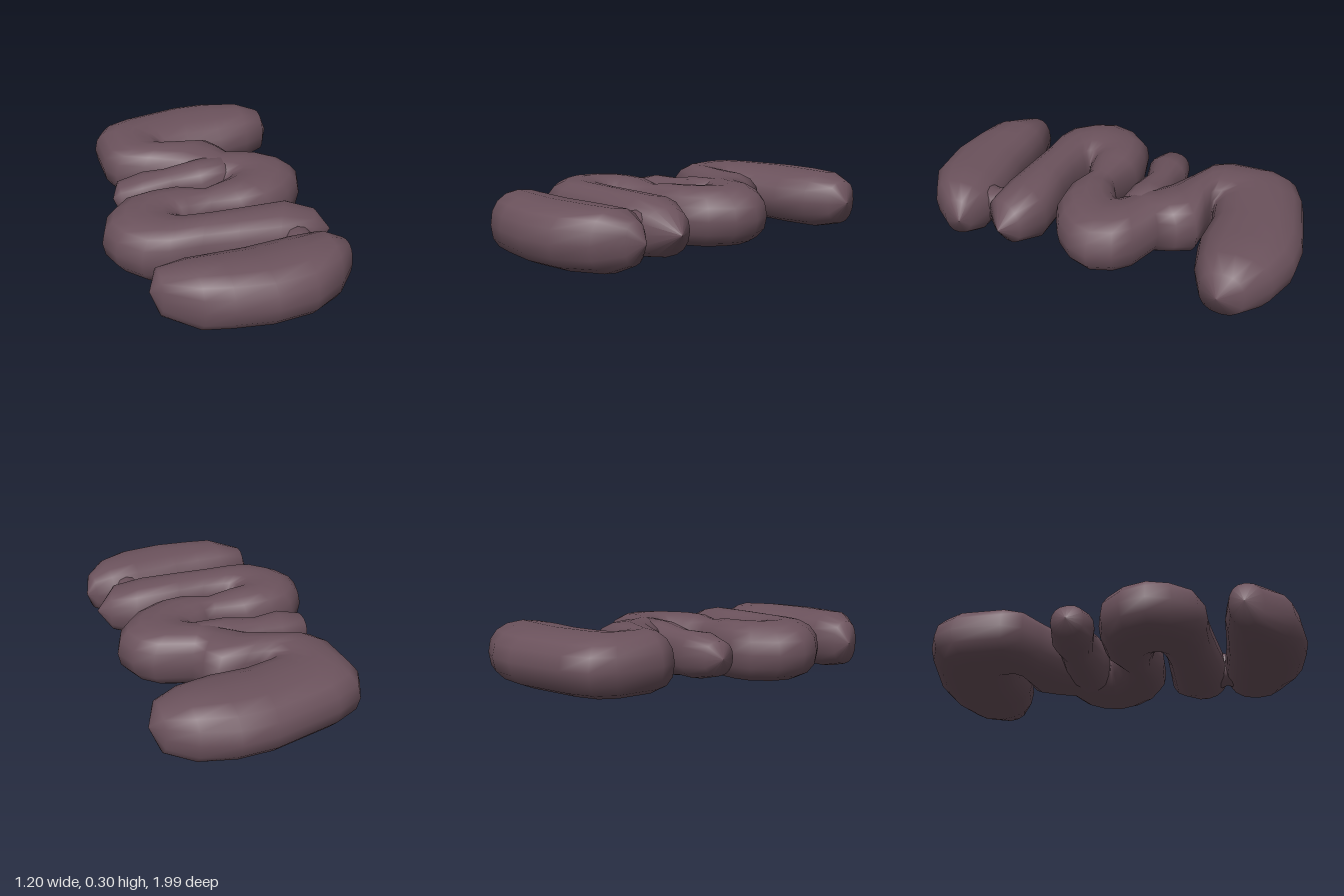
import * as THREE from 'three';

const MID = 0.155; // height of the centre line
const SIDES = 16;

// Loft through sections [rightX, rightZ, leftX, leftZ, halfHeight], seen along the path
function loft(name, sections, material) {
  const pos = [], index = [];
  const soft = v => Math.sign(v) * Math.pow(Math.abs(v), 0.85);
  for (const [ax, az, bx, bz, h] of sections) {
    for (let j = 0; j < SIDES; j++) {
      const a = (j / SIDES) * Math.PI * 2;
      const c = soft(Math.cos(a)), s = soft(Math.sin(a));
      pos.push((ax + bx) / 2 + ((ax - bx) / 2) * c, MID + h * s, (az + bz) / 2 + ((az - bz) / 2) * c);
    }
  }
  for (let i = 0; i < sections.length - 1; i++) {
    for (let j = 0; j < SIDES; j++) {
      const k = (j + 1) % SIDES;
      const a = i * SIDES + j, b = i * SIDES + k, c = a + SIDES, d = b + SIDES;
      index.push(a, c, d, a, d, b);
    }
  }
  const g = new THREE.BufferGeometry();
  g.setAttribute('position', new THREE.Float32BufferAttribute(pos, 3));
  g.setIndex(index);
  g.computeVertexNormals();
  const mesh = new THREE.Mesh(g, material);
  mesh.name = name;
  return mesh;
}

const tip = (x, z) => [x, z, x, z, 0];

export function createModel() {
  const group = new THREE.Group();
  group.name = 'coiledTube';
  const flesh = new THREE.MeshStandardMaterial({ color: 0x6b525c, side: THREE.DoubleSide });
  flesh.name = 'dusky mauve';

  // Rear end, bending round and crossing to the right-hand bend
  const rearCoil = [
    tip(0.6, -0.72),
    [0.56, -0.84, 0.55, -0.62, 0.115],
    [0.44, -0.94, 0.43, -0.56, 0.148],
    [0.27, -1.0, 0.26, -0.52, 0.15],
    [0.1, -1.0, 0.07, -0.525, 0.15],
    [-0.24, -0.925, -0.05, -0.5, 0.15],
    [-0.38, -0.86, -0.06, -0.495, 0.15],
    [-0.44, -0.75, -0.06, -0.49, 0.15],
    [-0.44, -0.5, -0.05, -0.49, 0.15],
    [-0.39, -0.4, -0.02, -0.49, 0.15],
    [-0.26, -0.335, 0.05, -0.49, 0.15],
    [-0.1, -0.24, 0.18, -0.49, 0.15],
    [0.0, -0.16, 0.22, -0.4, 0.148],
  ];
  // Right-hand bend, then the left-hand bend, ending in a blunt nose
  const middleCoil = [
    [0.06, -0.1, 0.24, -0.31, 0.148],
    [0.1, -0.06, 0.42, -0.25, 0.15],
    [0.11, -0.05, 0.5, -0.17, 0.15],
    [0.11, -0.045, 0.54, -0.05, 0.15],
    [0.1, -0.04, 0.5, 0.06, 0.15],
    [0.08, -0.03, 0.41, 0.16, 0.15],
    [0.06, -0.02, 0.28, 0.23, 0.15],
    [0.03, 0.0, 0.13, 0.24, 0.148],
    [-0.03, 0.03, -0.03, 0.2, 0.13],
    [-0.18, -0.03, -0.15, 0.235, 0.148],
    [-0.34, -0.025, -0.17, 0.24, 0.15],
    [-0.46, 0.005, -0.18, 0.243, 0.15],
    [-0.56, 0.11, -0.18, 0.245, 0.15],
    [-0.6, 0.24, -0.18, 0.247, 0.15],
    [-0.56, 0.36, -0.18, 0.249, 0.15],
    [-0.46, 0.475, -0.17, 0.25, 0.15],
    [-0.34, 0.51, -0.15, 0.255, 0.15],
    [-0.18, 0.51, -0.04, 0.27, 0.15],
    [0.0, 0.53, 0.1, 0.265, 0.15],
    [0.2, 0.555, 0.34, 0.255, 0.148],
    [0.37, 0.56, 0.46, 0.34, 0.115],
    tip(0.51, 0.44),
  ];
  // Join the two halves so that the surface stays smooth
  group.add(loft('mainCoil', [...rearCoil, ...middleCoil], flesh));

  // Short side stub on the left edge, buried in the main coil
  group.add(loft('sideStub', [
    tip(-0.46, -0.165),
    [-0.43, -0.08, -0.42, -0.25, 0.085],
    [-0.32, -0.05, -0.27, -0.28, 0.115],
    [-0.15, -0.09, -0.18, -0.26, 0.115],
    [0.0, -0.06, 0.0, -0.28, 0.14],
    [0.14, -0.05, 0.14, -0.3, 0.145],
    tip(0.3, -0.15),
  ], flesh));

  // Front loop
  group.add(loft('frontCoil', [
    tip(-0.48, 0.69),
    [-0.44, 0.785, -0.44, 0.615, 0.115],
    [-0.29, 0.925, -0.3, 0.59, 0.15],
    [-0.16, 0.96, -0.16, 0.585, 0.15],
    [0.03, 0.99, -0.02, 0.58, 0.15],
    [0.22, 0.97, 0.22, 0.555, 0.15],
    [0.38, 0.875, 0.37, 0.56, 0.145],
    [0.48, 0.76, 0.46, 0.62, 0.1],
    tip(0.51, 0.66),
  ], flesh));

  // Thin neck between the middle and front loops
  group.add(loft('neck', [
    tip(0.3, 0.4),
    [0.18, 0.46, 0.41, 0.46, 0.125],
    [0.22, 0.56, 0.37, 0.56, 0.085],
    [0.18, 0.67, 0.41, 0.67, 0.125],
    tip(0.3, 0.74),
  ], flesh));

  return group;
}
